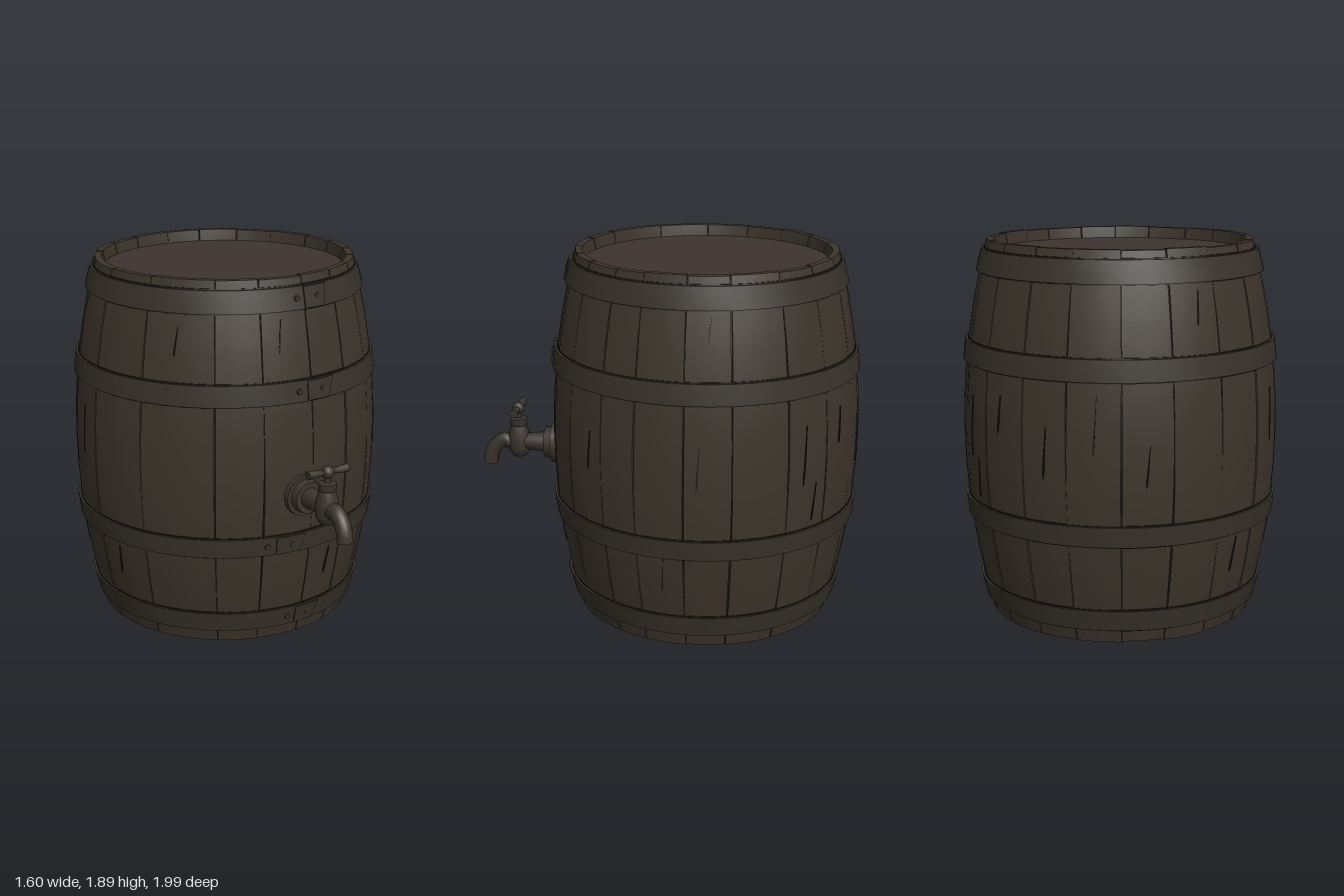
import * as THREE from 'three';
import { toCreasedNormals } from 'three/addons/utils/BufferGeometryUtils.js';

const material = (name, color) => Object.assign(new THREE.MeshStandardMaterial({ color }), { name });
const wood = material('dark wood', 0x3d352c);
const headWood = material('barrel head wood', 0x3d342f);
const iron = material('hoop iron', 0x38322a);
const groove = material('groove shadow', 0x1b1713);
const metal = material('tap metal', 0x3a342d);

const MID = 0.945;   // half the barrel height
const AXIS_Z = -0.2; // the barrel stands behind the centre, the tap in front
const radiusAt = (y) => 0.795 - 0.13 * ((y - MID) / MID) ** 2;

// Small seeded generator for hand-made irregularity
let seed = 7;
const rand = () => (seed = (seed * 16807) % 2147483647) / 2147483647;

function add(parent, name, geometry, mat, crease = 0.6) {
  const mesh = new THREE.Mesh(toCreasedNormals(geometry, crease), mat);
  mesh.name = name;
  parent.add(mesh);
  return mesh;
}

// Bends a unit box: x becomes angle, y height and z depth (0 inside, 1 outside)
function bentBox(segX, segY, rule) {
  const g = new THREE.BoxGeometry(1, 1, 1, segX, segY, 1);
  const p = g.attributes.position;
  for (let i = 0; i < p.count; i++) {
    const [a, y, r] = rule(p.getX(i) + 0.5, p.getY(i) + 0.5, p.getZ(i) + 0.5);
    p.setXYZ(i, r * Math.sin(a), y, r * Math.cos(a));
  }
  return g;
}

// Lathe between two heights that follows the bulge at a given offset
function bulgeBand(y0, y1, offset, steps) {
  const pts = [];
  for (let i = 0; i <= steps; i++) {
    const y = y0 + ((y1 - y0) * i) / steps;
    pts.push(new THREE.Vector2(radiusAt(y) + offset, y));
  }
  return pts;
}
const closedBand = (y0, y1, offset) => new THREE.LatheGeometry([
  new THREE.Vector2(radiusAt(y0) - 0.03, y0),
  ...bulgeBand(y0, y1, offset, 2),
  new THREE.Vector2(radiusAt(y1) - 0.03, y1)], 48);

function buildStaves(barrel) {
  const edges = [4, 21, 38, 56, 70, 88, 105, 126, 144, 163, 180, 199, 217, 236, 255, 275, 299, 327, 344.6, 364];
  const staves = new THREE.Group();
  staves.name = 'staves';
  barrel.add(staves);
  for (let i = 0; i < edges.length - 1; i++) {
    const a0 = THREE.MathUtils.degToRad(edges[i]);
    const a1 = THREE.MathUtils.degToRad(edges[i + 1]);
    const trim = i % 4 === 0 ? 0 : rand() * 0.006;
    const bump = rand() * 0.005 - 0.003;
    const gap0 = 0.003 + rand() * 0.003, gap1 = 0.003 + rand() * 0.003;
    add(staves, 'stave', bentBox(4, 12, (u, v, w) => {
      const y = MID + (v - 0.5) * 2 * MID * (1 - trim);
      const end = Math.abs(v - 0.5) > 0.49;
      const wave = 0.5 + 0.5 * Math.sin(v * 9 + i * 2);
      const from = a0 + gap0 * wave, to = a1 - gap1 * (1 - wave) - 0.002;
      return [from + (to - from) * u, y, w > 0.5 ? radiusAt(y) + bump : end ? 0.63 : 0.6];
    }), wood);
  }
}

// Thin splits in the wood: [angle in degrees, height, length]
function buildCracks(barrel) {
  const cracks = [[-8, 1.62, 0.16], [14, 0.4, 0.15], [50, 1.0, 0.2], [80, 0.42, 0.2], [93, 0.98, 0.24],
    [97, 1.64, 0.12], [133, 1.0, 0.3], [138, 0.75, 0.2], [152, 1.1, 0.18], [172, 0.95, 0.25],
    [190, 1.1, 0.3], [208, 0.9, 0.2], [228, 1.62, 0.16], [245, 0.4, 0.18], [266, 1.05, 0.26], [285, 0.4, 0.16], [312, 1.6, 0.14]];
  for (const [deg, mid, length] of cracks) {
    const a = THREE.MathUtils.degToRad(deg);
    add(barrel, 'woodCrack', bentBox(1, 6, (u, v, w) => {
      const y = mid + (v - 0.5) * length;
      const width = 0.012 * (1 - v) * Math.min(1, v * 5 + 0.1) + 0.001;
      return [a + (u - 0.5) * width + (v - 0.5) * 0.02, y, radiusAt(y) + (w - 0.5) * 0.008];
    }), groove);
  }
}

function buildHoops(barrel) {
  const hoops = [[0.07, 0.175, 5], [0.51, 0.61, -6], [1.295, 1.4, 6], [1.735, 1.845, 8]];
  for (const [y0, y1, deg] of hoops) {
    add(barrel, 'hoop', closedBand(y0, y1, 0.015), iron);
    add(barrel, 'hoopShadow', closedBand(y0 - 0.006, y1 + 0.006, 0.004), groove);
    // Overlapping end of the bent strip, with a slanted edge
    const a = THREE.MathUtils.degToRad(deg);
    add(barrel, 'hoopOverlap', bentBox(4, 2, (u, v, w) => {
      const y = y0 + 0.004 + (y1 - y0 - 0.008) * v;
      return [a + (u - 0.5) * 0.16 + (u > 0.9 ? v * 0.04 : 0), y, radiusAt(y) + 0.01 + w * 0.011];
    }), iron);
    // Rivets beside the overlap
    for (const side of [-0.14, 0.03]) {
      const y = (y0 + y1) / 2, r = radiusAt(y) + 0.016, b = a + side;
      const rivet = add(barrel, 'rivet', new THREE.CylinderGeometry(0.013, 0.018, 0.016, 8), iron);
      rivet.position.set(r * Math.sin(b), y, r * Math.cos(b));
      rivet.rotation.set(Math.PI / 2, 0, -b);
    }
  }
}

function buildTap() {
  const tap = new THREE.Group();
  tap.name = 'tap';
  const alongZ = (name, r0, r1, z0, z1, sides) => {
    const m = add(tap, name, new THREE.CylinderGeometry(r1, r0, z1 - z0, sides), metal);
    m.rotation.x = Math.PI / 2;
    m.position.set(0, 0.815, (z0 + z1) / 2);
  };
  alongZ('wallFlange', 0.11, 0.108, 0.56, 0.615, 20);
  alongZ('flangeCollar', 0.088, 0.082, 0.615, 0.655, 16);
  alongZ('inletPipe', 0.055, 0.044, 0.65, 0.78, 12);

  // Valve body and neck
  const profile = [[0, 0.73], [0.035, 0.735], [0.058, 0.77], [0.058, 0.85], [0.042, 0.905],
    [0.046, 0.912], [0.046, 0.943], [0.018, 0.948], [0.018, 0.98]];
  add(tap, 'valveBody', new THREE.LatheGeometry(profile.map(([r, y]) => new THREE.Vector2(r, y)), 12), metal)
    .position.z = 0.8;

  // Curved spout with a dark mouth
  const path = new THREE.CatmullRomCurve3([[0.82, 0.79], [0.87, 0.82], [0.925, 0.785], [0.953, 0.735], [0.96, 0.69]]
    .map(([z, y]) => new THREE.Vector3(0, y, z)));
  add(tap, 'spout', new THREE.TubeGeometry(path, 14, 0.04, 10), metal, 0.8);
  const mouth = add(tap, 'spoutMouth', new THREE.CircleGeometry(0.039, 10), groove);
  mouth.rotation.x = Math.PI / 2;
  mouth.position.set(0, 0.692, 0.96);

  // Turning handle: ball with two flared arms
  add(tap, 'handleBall', new THREE.SphereGeometry(0.033, 12, 8), metal, 1).position.set(0, 0.998, 0.8);
  for (const side of [-1, 1]) {
    const arm = add(tap, 'handleArm', new THREE.CylinderGeometry(0.023, 0.014, 0.1, 8), metal, 0.9);
    arm.rotation.z = -side * Math.PI / 2;
    arm.position.set(side * 0.063, 1.0, 0.8);
  }
  return tap;
}

export function createModel() {
  const model = new THREE.Group();
  model.name = 'barrelWithTap';
  const barrel = new THREE.Group();
  barrel.name = 'barrel';
  barrel.position.z = AXIS_Z;
  model.add(barrel);

  // Dark core seen through the gaps between staves
  add(barrel, 'grooveCore', new THREE.LatheGeometry(bulgeBand(0.02, 1.87, -0.014, 14), 48), groove);
  buildStaves(barrel);
  buildCracks(barrel);
  buildHoops(barrel);
  // Recessed top and bottom heads
  add(barrel, 'heads', new THREE.CylinderGeometry(0.62, 0.62, 1.77, 40), headWood).position.y = MID;

  model.add(buildTap());
  return model;
}
